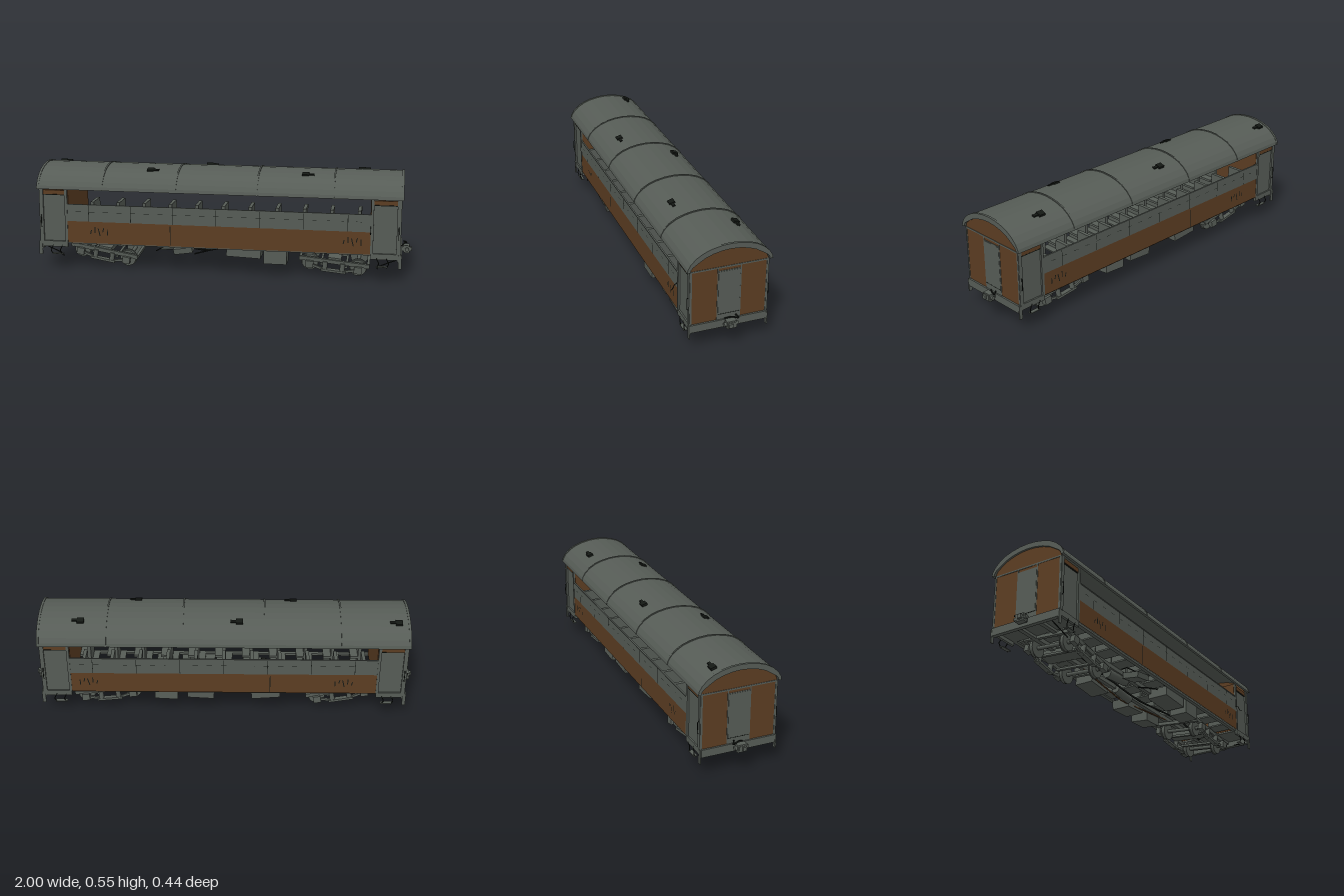
import * as THREE from 'three';

const mat = (name, color) => Object.assign(new THREE.MeshStandardMaterial({ color }), { name });

export function createModel() {
  const grey = mat('weathered grey', 0x565c56);
  const brown = mat('rust brown', 0x5c3d22);
  const dark = mat('soot black', 0x141814);
  const greyThin = mat('roof grey', 0x565c56);
  greyThin.side = THREE.DoubleSide;

  const root = new THREE.Group();
  root.name = 'railwayCarriage';
  const body = new THREE.Group();
  body.name = 'body';
  body.position.z = -0.01;
  root.add(body);

  const add = (parent, name, geo, m, x = 0, y = 0, z = 0) => {
    const mesh = new THREE.Mesh(geo, m);
    mesh.name = name;
    mesh.position.set(x, y, z);
    parent.add(mesh);
    return mesh;
  };
  const box = (p, name, m, w, h, d, x, y, z) => add(p, name, new THREE.BoxGeometry(w, h, d), m, x, y, z);
  const wire = (p, name, m, r, pts) => add(p, name, new THREE.TubeGeometry(
    new THREE.CatmullRomCurve3(pts.map(q => new THREE.Vector3(...q)), false, 'catmullrom', 0.1), pts.length * 4, r, 5), m);
  const cyl = (p, name, m, r, len, x, y, z, axis = 'z') => {
    const geo = new THREE.CylinderGeometry(r, r, len, 16);
    if (axis === 'z') geo.rotateX(Math.PI / 2);
    if (axis === 'x') geo.rotateZ(Math.PI / 2);
    return add(p, name, geo, m, x, y, z);
  };

  // Arched roof: half profile of [half width, height], mirrored into a shell
  const half = [[0.21, 0.43], [0.206, 0.448], [0.192, 0.472], [0.165, 0.498], [0.13, 0.519], [0.09, 0.533], [0.045, 0.542], [0, 0.545]];
  const arc = (inset, drop) => {
    const h = half.map(([z, y], i) => [z * (1 - inset / 0.21), i ? y - drop * Math.min(1, i / 3) : y]);
    return [...h, ...h.slice(0, -1).reverse().map(([z, y]) => [-z, y])];
  };
  const shape = pts => new THREE.Shape(pts.map(([a, b]) => new THREE.Vector2(a, b)));
  const along = (pts, len) => {
    const g = new THREE.ExtrudeGeometry(shape(pts), { depth: len, bevelEnabled: false });
    g.translate(0, 0, -len / 2);
    return g.rotateY(Math.PI / 2);
  };
  add(body, 'roof', along([...arc(0, 0.002), ...arc(0.014, 0.012).reverse()], 1.9), greyThin);
  for (const x of [-0.6, -0.21, 0.21, 0.6])
    add(body, 'roofRib', along([...arc(-0.002, -0.002), ...arc(0.004, 0.004).reverse()], 0.008), grey, x);
  for (const s of [-1, 1])
    add(body, 'roofEndRim', along([...arc(-0.001, -0.001), ...arc(0.01, 0.026).reverse()], 0.012), grey, s * 0.944);

  // Small broken roof ventilators
  for (const [x, z] of [[-0.88, -0.115], [-0.07, -0.115], [0.74, -0.115], [-0.35, 0.1], [0.46, 0.1]]) {
    const v = new THREE.Group();
    v.name = 'roofVent';
    v.position.set(x, 0.529, z);
    v.rotation.x = Math.sign(z) * 0.3;
    box(v, 'ventBase', dark, 0.035, 0.012, 0.03, -0.01, 0, 0);
    box(v, 'ventFlap', dark, 0.03, 0.008, 0.014, 0.02, 0, 0.002);
    body.add(v);
  }

  // Side walls: brown lower band, grey upper band, open window strip above
  for (const s of [-1, 1]) {
    const panel = (name, m, w, h, x, y, off = 0) => {
      const p = add(body, name, new THREE.PlaneGeometry(w, h), m, x, y, s * (0.195 + off));
      if (s < 0) p.rotation.y = Math.PI;
      return p;
    };
    panel('lowerSidePanel', brown, 1.58, 0.115, 0, 0.2025);
    panel('upperSidePanel', grey, 1.58, 0.09, 0, 0.305);
    for (let i = -3; i <= 3; i++) panel('panelSeam', dark, 0.003, 0.088, i * 0.225, 0.305, 0.001);
    for (let i = -10; i <= 10; i++) panel('rivetDash', dark, 0.028, 0.002, i * 0.073, 0.312, 0.001);
    panel('bodyCrack', dark, 0.004, 0.1, -0.24, 0.2, 0.001);
    for (const cx of [-0.62, 0.7])
      for (let i = 0; i < 5; i++)
        panel('scratch', dark, 0.005, 0.022 + (i % 3) * 0.01, cx + (i - 2) * 0.022, 0.205 + (i % 2) * 0.012, 0.001).rotation.z = (i % 3 - 1) * 0.25;
    box(body, 'windowSill', grey, 1.58, 0.005, 0.008, 0, 0.349, s * 0.194);
    box(body, 'sideSill', grey, 1.58, 0.012, 0.02, 0, 0.144, s * 0.178);

    // Entrance vestibules with recessed doors and brown header
    for (const e of [-1, 1]) {
      box(body, 'vestibuleDoor', grey, 0.12, 0.25, 0.008, e * 0.862, 0.275, s * 0.184);
      box(body, 'cornerPost', grey, 0.02, 0.285, 0.014, e * 0.93, 0.288, s * 0.19);
      box(body, 'innerPost', grey, 0.014, 0.285, 0.014, e * 0.797, 0.288, s * 0.19);
      box(body, 'doorHeader', brown, 0.13, 0.022, 0.01, e * 0.862, 0.412, s * 0.188);
      box(body, 'doorRail', dark, 0.116, 0.004, 0.012, e * 0.862, 0.398, s * 0.186);
      box(body, 'doorSill', grey, 0.15, 0.03, 0.014, e * 0.867, 0.134, s * 0.188);
      // Bent hanging footstep
      for (const dx of [0, 0.05])
        wire(body, 'stepHanger', dark, 0.0025, [[e * (0.82 + dx), 0.13, s * 0.193], [e * (0.835 + dx), 0.1, s * 0.197], [e * (0.825 + dx), 0.075, s * 0.19]]);
      box(body, 'footStep', grey, 0.06, 0.004, 0.02, e * 0.85, 0.08, s * 0.186);
      box(body, 'cornerBracket', grey, 0.018, 0.07, 0.006, e * 0.94, 0.11, s * 0.194);
      wire(body, 'grabHandle', dark, 0.002, [[e * 0.93, 0.225, s * 0.195], [e * 0.93, 0.23, s * 0.203], [e * 0.93, 0.285, s * 0.203], [e * 0.93, 0.29, s * 0.195]]);
    }
  }
  wire(body, 'bentHandle', dark, 0.002, [[0.79, 0.29, 0.195], [0.79, 0.28, 0.212], [0.79, 0.262, 0.217], [0.79, 0.255, 0.23]]);

  // End walls with arch, framing, gangway door, buffer beam and coupler
  const endPts = [[0.192, 0.145], ...arc(0.018, 0.014), [-0.192, 0.145]];
  for (const e of [-1, 1]) {
    const x = e * 0.935;
    add(body, 'endWall', along(endPts, 0.01), brown, x);
    box(body, 'endCrossRail', grey, 0.014, 0.008, 0.39, x, 0.425, 0);
    for (const s of [-1, 1]) {
      box(body, 'endCornerFrame', grey, 0.014, 0.28, 0.008, x, 0.287, s * 0.19);
      box(body, 'endDoorJamb', grey, 0.014, 0.275, 0.005, x, 0.284, s * 0.057);
    }
    box(body, 'endDoor', grey, 0.016, 0.228, 0.108, x, 0.289, 0);
    box(body, 'endDoorLine', dark, 0.017, 0.003, 0.108, x, 0.176, 0);
    box(body, 'endDoorLintel', grey, 0.014, 0.005, 0.115, x, 0.405, 0);
    box(body, 'endThreshold', grey, 0.014, 0.03, 0.115, x, 0.16, 0);
    box(body, 'bufferBeam', grey, 0.022, 0.04, 0.38, e * 0.938, 0.127, 0);
    box(body, 'couplerShank', grey, 0.05, 0.024, 0.035, e * 0.965, 0.136, 0);
    box(body, 'couplerHead', grey, 0.03, 0.038, 0.048, e * 0.973, 0.136, 0);
    cyl(body, 'couplerPin', grey, 0.01, 0.07, e * 0.975, 0.136, 0);
    box(body, 'couplerKnuckle', grey, 0.018, 0.02, 0.02, e * 0.991, 0.136, 0.008);
    wire(body, 'couplerHose', dark, 0.004, [[e * 0.945, 0.15, 0.02], [e * 0.965, 0.165, -0.01], [e * 0.975, 0.158, -0.04], [e * 0.955, 0.168, -0.03]]);
    wire(body, 'brakeHose', dark, 0.003, [[e * 0.93, 0.11, 0.14], [e * 0.84, 0.075, 0.15], [e * 0.825, 0.06, 0.158]]);
    // Inner bulkhead and vestibule floor
    box(body, 'bulkhead', brown, 0.006, 0.285, 0.375, e * 0.79, 0.288, 0);
    box(body, 'vestibuleFloor', grey, 0.145, 0.012, 0.37, e * 0.863, 0.143, 0);
  }

  // Open floor of cross planks on long sills, with bench seats above
  for (let i = -5; i <= 5; i++) {
    box(body, 'floorPlank', grey, 0.085, 0.008, 0.37, i * 0.145, 0.149, 0);
    for (const s of [-1, 1]) {
      box(body, 'seatBack', grey, 0.018, 0.16, 0.13, i * 0.145, 0.233, s * 0.115);
      box(body, 'seatBase', grey, 0.05, 0.012, 0.13, i * 0.145 + 0.025, 0.205, s * 0.115);
    }
  }
  for (const z of [-0.06, 0.06]) box(body, 'centreSill', grey, 1.86, 0.022, 0.022, 0, 0.134, z);

  // Equipment boxes, tanks and loose pipes hanging below the floor
  const hang = (name, w, h, d, x, y, z, rz, rx = 0) =>
    box(body, name, grey, w, h, d, x, y, z).rotation.set(rx, 0, rz);
  hang('batteryBox', 0.12, 0.08, 0.1, 0.305, 0.105, 0.12, 0);
  hang('batteryBox', 0.12, 0.06, 0.1, 0.3, 0.11, -0.12, 0.05, 0.1);
  hang('equipmentBox', 0.18, 0.05, 0.11, 0.14, 0.118, 0.11, -0.04);
  hang('equipmentBox', 0.14, 0.05, 0.1, 0.12, 0.115, -0.12, 0.06);
  hang('airTankCradle', 0.1, 0.03, 0.09, -0.18, 0.12, 0.12, 0.15, 0.15);
  hang('equipmentBox', 0.15, 0.045, 0.1, -0.22, 0.115, -0.12, -0.08);
  cyl(body, 'airTank', grey, 0.025, 0.17, -0.24, 0.115, 0.04, 'x').rotation.z = 0.1;
  cyl(body, 'airTank', grey, 0.022, 0.13, -0.04, 0.115, -0.05, 'x').rotation.z = -0.12;
  wire(body, 'loosePipe', dark, 0.005, [[-0.7, 0.125, 0.03], [-0.3, 0.118, 0], [-0.1, 0.085, 0.02], [0.1, 0.115, -0.02], [0.45, 0.12, 0.02], [0.75, 0.115, -0.03]]);
  wire(body, 'rustyPipe', brown, 0.004, [[-0.4, 0.12, -0.05], [0, 0.1, -0.08], [0.4, 0.125, -0.05]]);
  wire(body, 'brokenRod', dark, 0.004, [[-0.13, 0.085, 0.1], [-0.05, 0.11, 0.11], [0.03, 0.13, 0.12]]);
  wire(body, 'brokenRod', dark, 0.003, [[-0.33, 0.1, 0.13], [-0.28, 0.13, 0.13], [-0.2, 0.14, 0.13]]);

  // Two derailed bogies, tilted under the ends
  for (const [x, y, rz, rx] of [[-0.615, 0.079, -0.17, 0.08], [0.605, 0.071, -0.1, 0.1]]) {
    const b = new THREE.Group();
    b.name = 'bogie';
    b.position.set(x, y, 0);
    b.rotation.set(rx, 0, rz);
    body.add(b);
    for (const e of [-1, 1]) {
      cyl(b, 'axle', grey, 0.01, 0.27, e * 0.125, -0.005, 0);
      box(b, 'headstock', grey, 0.014, 0.018, 0.26, e * 0.175, 0.018, 0);
      box(b, 'brakeBeam', grey, 0.012, 0.012, 0.2, e * 0.065, -0.01, 0);
      for (const s of [-1, 1]) {
        cyl(b, 'wheel', grey, 0.043, 0.016, e * 0.125, -0.005, s * 0.09);
        cyl(b, 'wheelFlange', grey, 0.047, 0.005, e * 0.125, -0.005, s * 0.08);
        box(b, 'axleBox', grey, 0.04, 0.036, 0.026, e * 0.125, -0.002, s * 0.135);
        cyl(b, 'spring', grey, 0.013, 0.04, e * 0.045, 0, s * 0.128, 'y');
        box(b, 'equaliserArm', grey, 0.1, 0.012, 0.012, e * 0.085, -0.016, s * 0.128).rotation.z = e * 0.25;
      }
    }
    for (const s of [-1, 1]) {
      box(b, 'sideFrame', grey, 0.36, 0.02, 0.016, 0, 0.022, s * 0.125);
      box(b, 'springPlank', grey, 0.13, 0.012, 0.028, 0, -0.026, s * 0.128);
    }
    box(b, 'bolster', grey, 0.07, 0.032, 0.25, 0, 0.026, 0);
    cyl(b, 'pivot', grey, 0.03, 0.03, 0, 0.05, 0, 'y');
  }
  return root;
}
